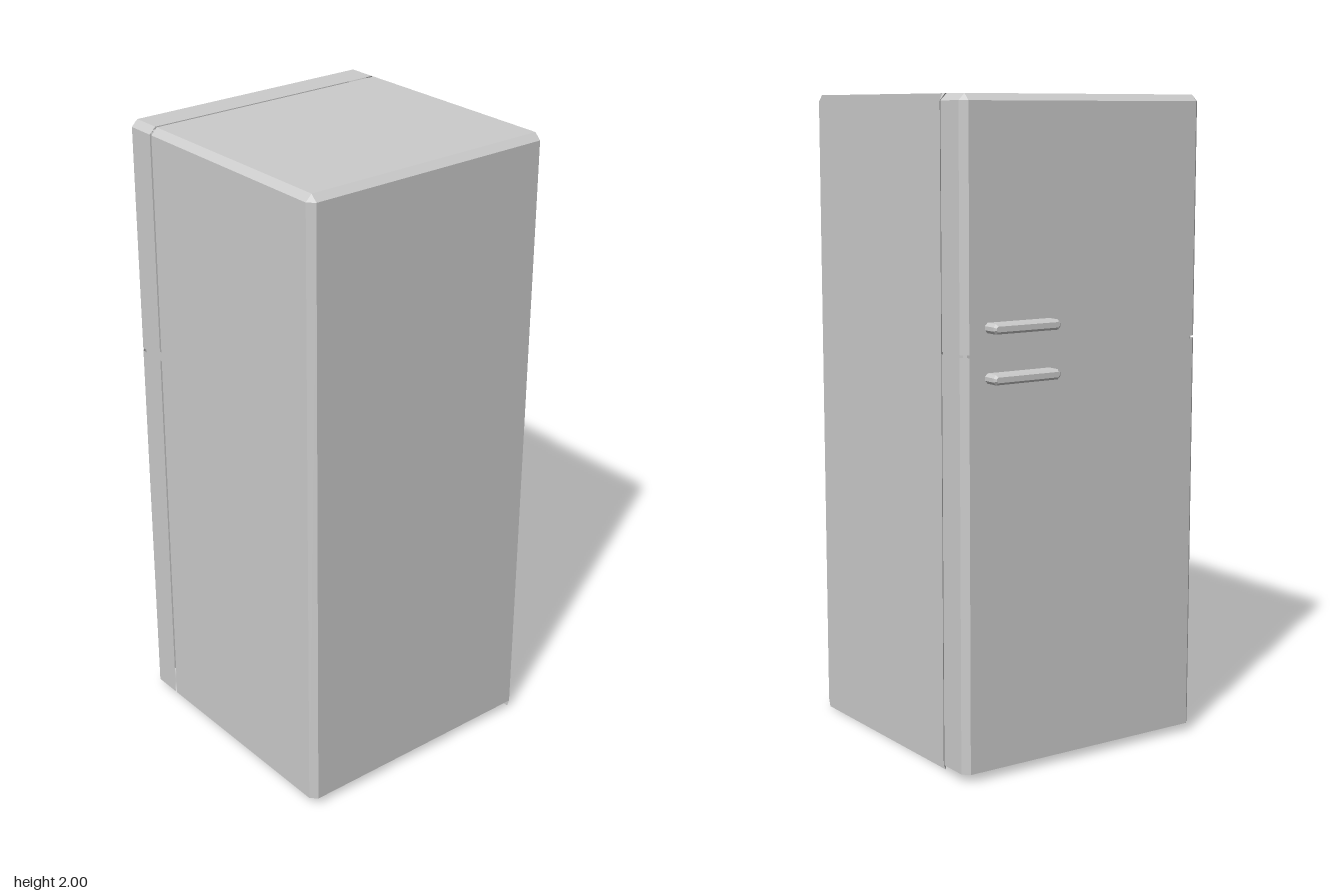
import * as THREE from 'three';

const material = new THREE.MeshStandardMaterial({ color: 0xcccccc, flatShading: true, side: THREE.DoubleSide });

// Skin of flat quads over rows of [x, y, z] points, rows running upwards
function skin(name, rows) {
  const pos = [];
  for (let j = 0; j < rows.length - 1; j++) {
    for (let i = 0; i < rows[j].length - 1; i++) {
      const a = rows[j][i], b = rows[j][i + 1], c = rows[j + 1][i + 1], d = rows[j + 1][i];
      pos.push(...a, ...b, ...c, ...a, ...c, ...d);
    }
  }
  const g = new THREE.BufferGeometry();
  g.setAttribute('position', new THREE.Float32BufferAttribute(pos, 3));
  g.computeVertexNormals();
  const mesh = new THREE.Mesh(g, material);
  mesh.name = name;
  return mesh;
}

// Lift a plan path of [x, z] points to height y
const at = (path, y) => path.map(([x, z]) => [x, y, z]);
// Pull a plan path inside the given limits
const clamp = (path, x0, x1, z0, z1) => path.map(([x, z]) => [
  Math.min(Math.max(x, x0), x1), Math.min(Math.max(z, z0), z1)]);

// Bar handle with chamfered corners and outer rim, pointing along -x
function handle(name, y) {
  const w = 0.11, h = 0.008, c = 0.005;
  const s = new THREE.Shape([
    [-w + c, -h], [w - c, -h], [w, -h + c], [w, h - c],
    [w - c, h], [-w + c, h], [-w, h - c], [-w, -h + c],
  ].map(([a, b]) => new THREE.Vector2(a, b)));
  const g = new THREE.ExtrudeGeometry(s, {
    depth: 0.043, bevelThickness: 0.007, bevelSize: 0.007, bevelSegments: 1,
  });
  const mesh = new THREE.Mesh(g, material);
  mesh.name = name;
  mesh.rotation.y = -Math.PI / 2;
  mesh.position.set(-0.405, y, -0.24);
  return mesh;
}

export function createModel() {
  const model = new THREE.Group();
  model.name = 'refrigerator';
  const base = 0.025, split = 1.265, gap = 0.004;

  // Cabinet shell, open underneath and towards the doors
  const body = [[-0.284, 0.43], [0.435, 0.43], [0.455, 0.41], [0.455, -0.41]];
  const bodyTop = clamp(body, -0.284, 0.435, -0.41, 0.41);
  model.add(skin('cabinet', [
    at(body, base), at(body, 1.98), at(bodyTop, 2),
    at(clamp(bodyTop, -0.284, 0.435, -0.41, -0.41), 2),
  ]));

  // Back panel, reaching down to the floor
  const outline = [[-0.27, 0], [0.447, 0], [0.455, base], [0.455, 1.98], [0.435, 2], [-0.27, 2]];
  const panel = new THREE.Mesh(new THREE.ShapeGeometry(
    new THREE.Shape(outline.map(([x, y]) => new THREE.Vector2(-x, y)))), material);
  panel.name = 'backPanel';
  panel.rotation.y = Math.PI;
  panel.position.z = -0.41;
  model.add(panel);

  // Slanted lip between the back panel and the doors
  model.add(skin('backLip', [
    [[-0.27, 0, -0.41], [-0.288, base, -0.43]],
    [[-0.27, 2, -0.41], [-0.288, 1.98, -0.43]],
    [[-0.27, 2, -0.41], [-0.284, 2, -0.41]],
  ]));

  // Hollow doors with chamfered outer edges
  const door = [[-0.292, -0.43], [-0.385, -0.43], [-0.405, -0.41],
    [-0.405, 0.41], [-0.385, 0.43], [-0.292, 0.43]];
  const doorTop = clamp(door, -0.385, -0.292, -0.41, 0.41);
  model.add(skin('lowerDoor', [at(door, base), at(door, split - gap)]));
  model.add(skin('upperDoor', [
    at(door, split + gap), at(door, 1.98), at(doorTop, 2),
    at(clamp(doorTop, -0.292, -0.292, -0.41, 0.41), 2),
  ]));

  // Recessed seal between the two doors
  const inner = clamp(door, -0.393, -0.28, -0.418, 0.418);
  model.add(skin('doorSeal', [at(inner, split - 0.015), at(inner, split + 0.015)]));

  // Recessed seal around the joint of doors and cabinet
  for (const s of [-1, 1]) {
    const side = [[-0.302 * s, 0.418 * s], [-0.274 * s, 0.418 * s]].map(([x, z]) => [x * s, z]);
    if (s < 0) side.reverse();
    model.add(skin(s > 0 ? 'frontSeal' : 'backSeal', [at(side, base), at(side, 1.985)]));
  }
  model.add(skin('topSeal', [
    [[-0.302, 1.988, 0.418], [-0.274, 1.988, 0.418]],
    [[-0.302, 1.988, -0.418], [-0.274, 1.988, -0.418]],
  ]));

  model.add(handle('upperHandle', 1.343), handle('lowerHandle', 1.198));
  return model;
}
